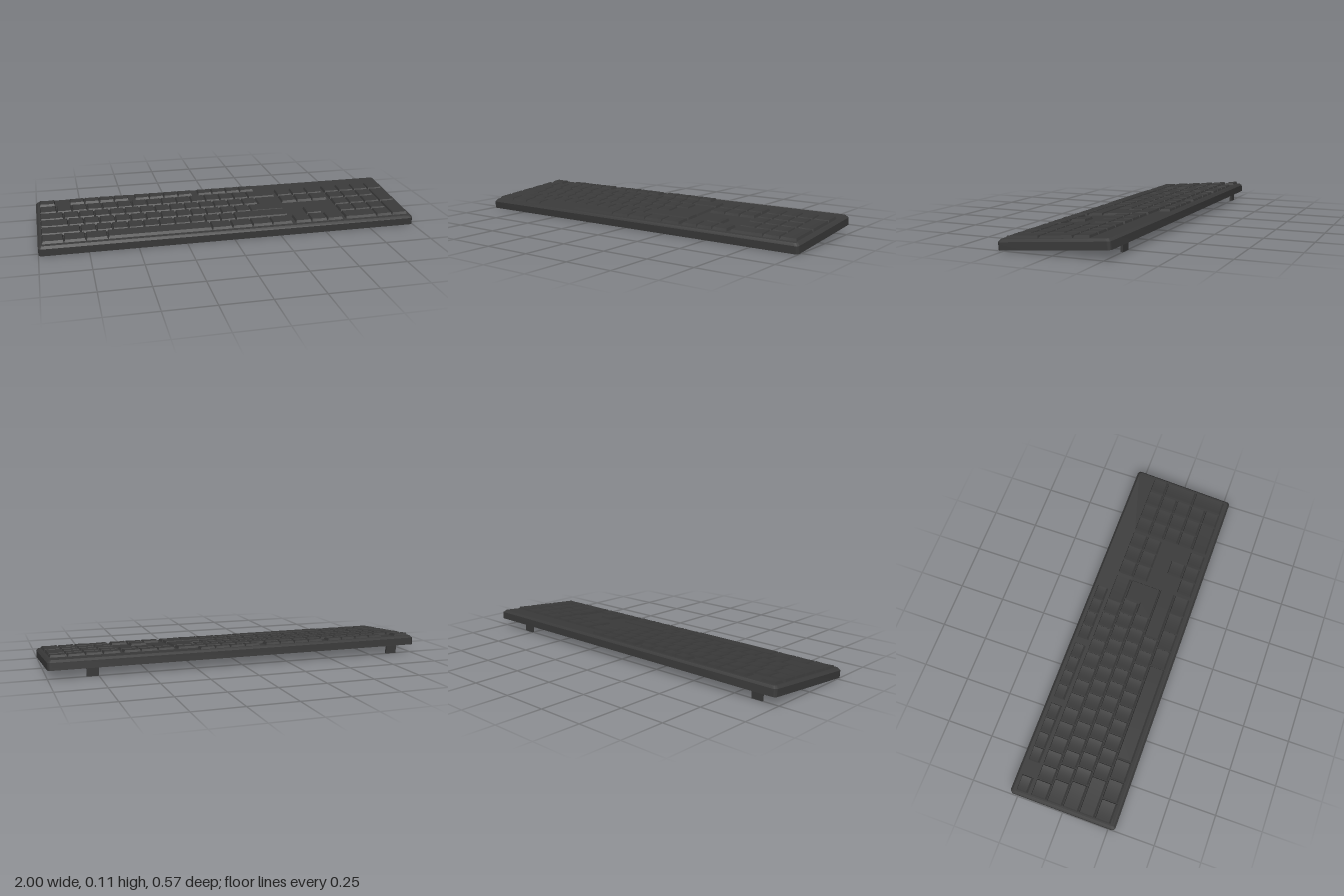
import * as THREE from 'three';
import { toCreasedNormals } from 'three/addons/utils/BufferGeometryUtils.js';

const TILT = 0.086;     // slope of the case
const TOP = 0.05;       // case thickness
const KEY_H = 0.013;
const UNIT = 1.305 / 16; // key pitch in the main block
const ROWS = [-0.179, -0.092, -0.006, 0.081, 0.168, 0.255]; // row borders, back to front

const dark = new THREE.MeshStandardMaterial({ color: 0x3a3a3a });

function add(parent, geometry, name) {
  const mesh = new THREE.Mesh(geometry, dark);
  mesh.name = name;
  parent.add(mesh);
  return mesh;
}

// Case: rounded slab whose upper rim is chamfered
function caseGeometry() {
  const w = 1, d = 0.285, r = 0.018;
  const s = new THREE.Shape();
  s.moveTo(-w + r, -d);
  s.lineTo(w - r, -d);
  s.absarc(w - r, -d + r, r, -Math.PI / 2, 0);
  s.absarc(w - r, d - r, r, 0, Math.PI / 2);
  s.absarc(-w + r, d - r, r, Math.PI / 2, Math.PI);
  s.absarc(-w + r, -d + r, r, Math.PI, Math.PI * 1.5);
  const g = new THREE.ExtrudeGeometry(s, { depth: TOP, steps: 2, bevelEnabled: false, curveSegments: 5 });
  g.rotateX(-Math.PI / 2);
  const p = g.attributes.position;
  for (let i = 0; i < p.count; i++) {
    const y = p.getY(i);
    if (y > TOP * 0.9) {
      p.setX(i, p.getX(i) * (1 - 0.011 / w));
      p.setZ(i, p.getZ(i) * (1 - 0.011 / d));
    } else if (y > TOP * 0.2) p.setY(i, 0.038);
  }
  return toCreasedNormals(g, 0.6);
}

// Keycap: tapered box, long slope at the front, shallow dish across the top
function keyGeometry(w, d) {
  const g = new THREE.BoxGeometry(w, KEY_H, d, 6, 1, 1);
  const p = g.attributes.position;
  const dish = w < 0.2 ? 0.002 : 0;
  for (let i = 0; i < p.count; i++) {
    if (p.getY(i) < 0) continue;
    const t = p.getX(i) / (w / 2);
    p.setX(i, t * (w / 2 - 0.005));
    p.setZ(i, p.getZ(i) > 0 ? d / 2 - 0.01 : -d / 2 + 0.003);
    p.setY(i, KEY_H / 2 - dish * (1 - t * t));
  }
  return toCreasedNormals(g.toNonIndexed(), 0.4);
}

function addKey(parent, x0, x1, z0, z1, name = 'key') {
  const gap = 0.003;
  const key = add(parent, keyGeometry(x1 - x0 - gap, z1 - z0 - gap), name);
  key.position.set((x0 + x1) / 2, TOP + KEY_H / 2 - 0.0005, (z0 + z1) / 2);
}

// A run of keys given as widths in units; negative widths are gaps
function addRow(parent, x, unit, z0, z1, widths) {
  for (const w of widths) {
    const next = x + Math.abs(w) * unit;
    if (w > 0) addKey(parent, x, next, z0, z1);
    x = next;
  }
}

const ones = n => Array(n).fill(1);

export function createModel() {
  const model = new THREE.Group();
  model.name = 'keyboard';
  const board = new THREE.Group();
  board.name = 'tiltedBoard';
  board.rotation.x = TILT;
  board.position.y = 0.0245;
  model.add(board);

  add(board, caseGeometry(), 'case');

  // Main block
  const main = new THREE.Group();
  main.name = 'mainKeys';
  board.add(main);
  const left = -0.981, right = left + 16 * UNIT;
  addRow(main, left, UNIT, -0.258, -0.194,
    [1.05, -0.95, ...ones(4), -0.4, ...ones(4), -0.4, ...ones(4)]);
  [
    [1.1, ...ones(13), 1.9],
    [1.5, ...ones(13)],
    [1.75, ...ones(12)],
    [2.45, ...ones(10), 3.55],
    [1.35, 1.35, 1.35, 6.6, 1.33, 1.33, 1.33, 1.36],
  ].forEach((widths, i) => addRow(main, left, UNIT, ROWS[i], ROWS[i + 1], widths));

  // L-shaped enter key, narrow at the back and wide at the front
  const b = 0.006, e = b + 0.0015;
  const xa = left + 13.75 * UNIT + e, xb = left + 14.5 * UNIT + e, xr = right - e;
  const shape = new THREE.Shape([
    [xa, -ROWS[3] + e], [xr, -ROWS[3] + e], [xr, -ROWS[1] - e],
    [xb, -ROWS[1] - e], [xb, -ROWS[2] - e], [xa, -ROWS[2] - e],
  ].map(([x, y]) => new THREE.Vector2(x, y)));
  const enter = new THREE.ExtrudeGeometry(shape, {
    depth: 0.002, bevelThickness: KEY_H - 0.002, bevelSize: b, bevelSegments: 1,
  });
  enter.rotateX(-Math.PI / 2);
  add(main, enter, 'enterKey').position.y = TOP - 0.0025;

  // Navigation block and arrows
  const nav = new THREE.Group();
  nav.name = 'navigationKeys';
  board.add(nav);
  const navX = 0.34, col = 0.089;
  for (const i of [0, 1, 4]) addRow(nav, navX, col, ROWS[i], ROWS[i + 1], ones(3));
  addRow(nav, navX, col, ROWS[3], ROWS[4], [-1, 1]);

  // Number pad with two tall keys at its right edge
  const pad = new THREE.Group();
  pad.name = 'numberPadKeys';
  board.add(pad);
  const padX = 0.622;
  [ones(4), ones(3), ones(3), ones(3), [2, 1]].forEach((widths, i) =>
    addRow(pad, padX, col, ROWS[i], ROWS[i + 1], widths));
  for (const i of [1, 3]) addKey(pad, padX + 3 * col, padX + 4 * col, ROWS[i], ROWS[i + 2], 'tallKey');

  // Upright feet under the back edge
  for (const x of [0.78, -0.88]) {
    const foot = add(model, new THREE.BoxGeometry(0.06, 0.054, 0.011), 'foot');
    foot.position.set(x, 0.027, -0.248);
  }
  return model;
}
